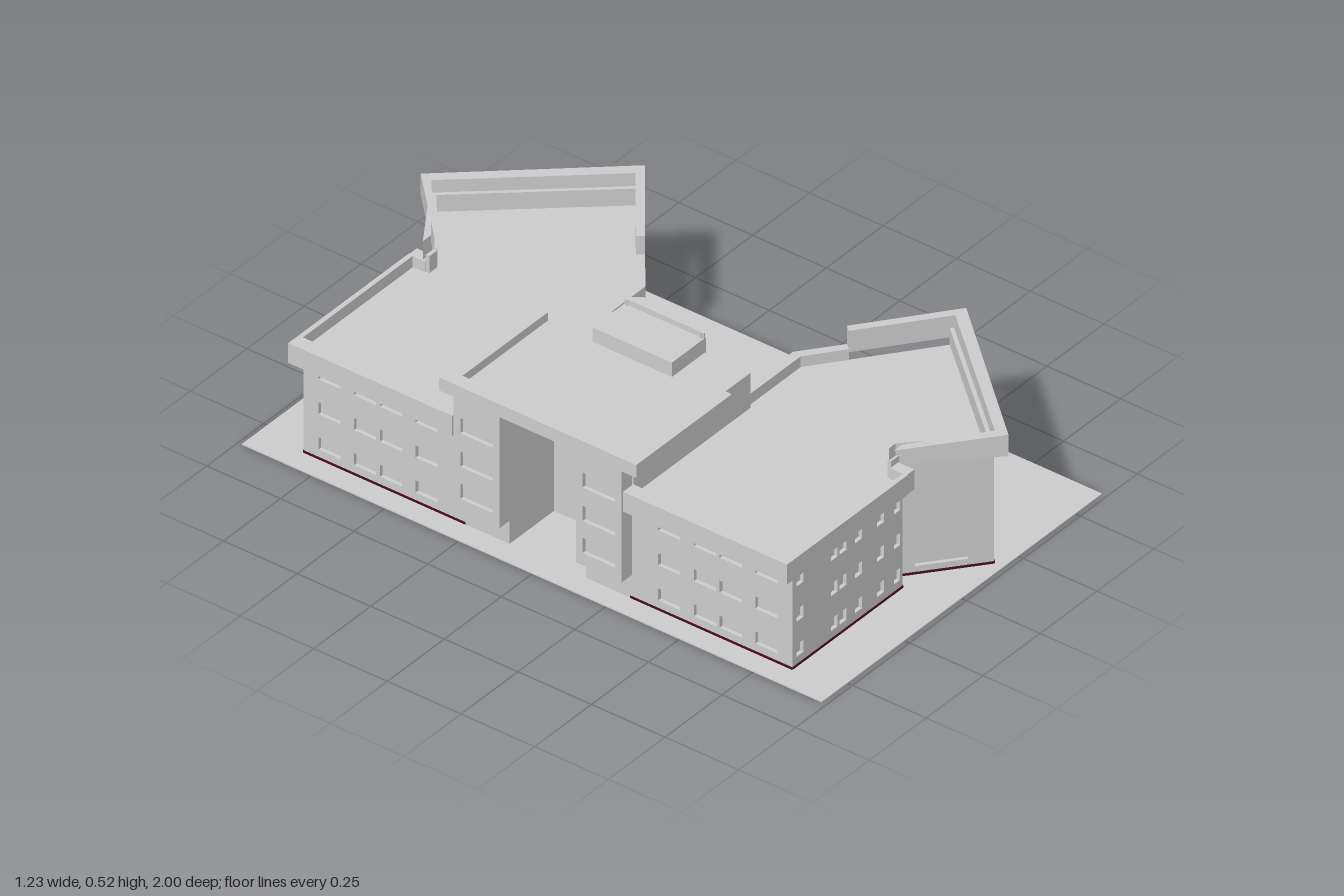
import * as THREE from 'three';

const DEPTH = 0.012; // window reveal depth

export function createModel() {
  const root = new THREE.Group();
  root.name = 'buildingComplex';
  const mat = (name, color) => {
    const m = new THREE.MeshStandardMaterial({ color });
    m.name = name;
    return m;
  };
  const grey = mat('paleGrey', 0xcccccc);
  const maroon = mat('darkMaroon', 0x4a0a22);

  const add = (parent, name, geo, m = grey) => {
    const mesh = new THREE.Mesh(geo, m);
    mesh.name = name;
    parent.add(mesh);
    return mesh;
  };
  const box = (parent, name, x0, x1, y0, y1, z0, z1, m) =>
    add(parent, name, new THREE.BoxGeometry(x1 - x0, y1 - y0, z1 - z0), m)
      .position.set((x0 + x1) / 2, (y0 + y1) / 2, (z0 + z1) / 2);

  // Upright prism over a plan outline of [x, z] points
  const prism = (parent, name, pts, y0, y1) => {
    const shape = new THREE.Shape(pts.map(p => new THREE.Vector2(p[0], p[1])));
    const geo = new THREE.ExtrudeGeometry(shape, { depth: y1 - y0, bevelEnabled: false });
    geo.rotateX(Math.PI / 2).translate(0, y1, 0);
    return add(parent, name, geo);
  };

  const rect = (path, u0, v0, u1, v1) =>
    path.moveTo(u0, v0).lineTo(u1, v0).lineTo(u1, v1).lineTo(u0, v1).closePath();

  // Wall from a to b with recessed openings [u0, v0, u1, v1]; outside is right of a->b seen from above
  const wall = (parent, name, a, b, y0, y1, openings = [], plinth = false) => {
    const dx = b[0] - a[0], dz = b[1] - a[1], len = Math.hypot(dx, dz);
    const g = new THREE.Group();
    g.name = name;
    g.position.set(a[0], 0, a[1]);
    g.rotation.y = Math.atan2(-dz, dx);
    const shape = rect(new THREE.Shape(), 0, y0, len, y1);
    for (const o of openings) shape.holes.push(rect(new THREE.Path(), ...o));
    const geo = new THREE.ExtrudeGeometry(shape, { depth: DEPTH, bevelEnabled: false });
    add(g, 'wallFace', geo.translate(0, 0, -DEPTH));
    if (openings.length) {
      const back = new THREE.PlaneGeometry(len, y1 - y0);
      add(g, 'windowPanes', back.translate(len / 2, (y0 + y1) / 2, -DEPTH));
    }
    if (plinth) box(g, 'plinth', 0, len, 0.004, 0.011, -0.004, 0.002, maroon);
    parent.add(g);
    return g;
  };

  const rows = [0.035, 0.15, 0.265];
  // Grid of windows centred at fractions of the wall length
  const windows = (len, fractions, w, h = 0.04, levels = rows) =>
    levels.flatMap(y => fractions.map(t => [t * len - w / 2, y, t * len + w / 2, y + h]));

  // Site
  box(root, 'groundPlate', -0.615, 0.615, 0, 0.004, -0.985, 0.985);

  // Side wings, mirrored in z
  const outline = [
    [-0.545, 0.28], [-0.545, 0.83], [-0.06, 0.83], [-0.06, 0.79], [-0.025, 0.79],
    [0.18, 0.955], [0.54, 0.54], [0.205, 0.28], [-0.03, 0.28],
  ];
  // Per wall: window fractions, window width, wall top, optional door [t0, t1]
  const walls = [
    { name: 'backWall', t: [0.24, 0.46, 0.62, 0.84], w: 0.075, top: 0.345 },
    { name: 'outerWall', t: [0.07, 0.38, 0.46, 0.6, 0.8, 0.95], w: 0.03, top: 0.345 },
    { name: 'notchReturn', top: 0.345 },
    { name: 'notchWall', top: 0.4 },
    { name: 'gableWall', top: 0.4, door: [0.17, 0.73] },
    { name: 'longWall', t: [0.06, 0.14, 0.31, 0.38, 0.49, 0.64, 0.81, 0.88, 0.96], w: 0.024, top: 0.4 },
    { name: 'entranceWall', top: 0.345, door: [0.12, 0.52], frame: true },
    { name: 'courtWall', t: [0.15, 0.45, 0.8], w: 0.035, top: 0.345 },
  ];

  for (const s of [1, -1]) {
    const wing = new THREE.Group();
    wing.name = s > 0 ? 'frontWing' : 'rearWing';
    root.add(wing);
    const flip = pts => pts.map(([x, z]) => [x, z * s]);
    const plan = flip(outline);

    walls.forEach((w, i) => {
      let a = plan[i], b = plan[i + 1];
      const len = Math.hypot(b[0] - a[0], b[1] - a[1]);
      let open = w.t ? windows(len, w.t, w.w) : [];
      if (w.door) open.push([w.door[0] * len, 0.03, w.door[1] * len, 0.267]);
      if (s < 0) {
        [a, b] = [b, a];
        open = open.map(([u0, v0, u1, v1]) => [len - u1, v0, len - u0, v1]);
      }
      const g = wall(wing, w.name, a, b, 0, w.top, open, true);
      if (w.frame) { // thin coloured lining of the doorway
        const [u0, v0, u1, v1] = open[0];
        box(g, 'doorSill', u0, u1, v0, v0 + 0.004, -DEPTH, 0.001, maroon);
        for (const u of [u0, u1 - 0.004])
          box(g, 'doorJamb', u, u + 0.004, v0, v1, -DEPTH, 0.001, maroon);
      }
    });
    prism(wing, 'roofDeck', plan, 0.325, 0.345);

    // Parapets: outer edge, then inner edge backwards
    prism(wing, 'lowParapet', flip([
      [-0.06, 0.847], [-0.59, 0.847], [-0.59, 0.29],
      [-0.545, 0.29], [-0.545, 0.832], [-0.06, 0.832],
    ]), 0.315, 0.38);
    prism(wing, 'tallParapet', flip([
      [-0.06, 0.787], [-0.03, 0.787], [0.187, 0.998], [0.587, 0.545], [0.325, 0.343],
      [0.309, 0.362], [0.542, 0.543], [0.18, 0.957], [-0.025, 0.8], [-0.06, 0.8],
    ].map(([x, z], i) => (i === 0 || i === 1 ? [x, z - 0.004] : [x, z]))), 0.37, 0.44);
    prism(wing, 'courtParapet', flip([
      [0.325, 0.343], [0.207, 0.25], [-0.03, 0.25],
      [-0.03, 0.28], [0.203, 0.28], [0.309, 0.362],
    ]), 0.32, 0.38);
    box(wing, 'parapetEnd', -0.064, -0.028, 0.315, 0.38,
      Math.min(0.79 * s, 0.845 * s), Math.max(0.79 * s, 0.845 * s));
  }

  // Central block with a recess at the back
  const centre = new THREE.Group();
  centre.name = 'centralBlock';
  root.add(centre);
  prism(centre, 'blockBody', [
    [-0.042, 0.29], [-0.042, -0.29], [-0.545, -0.29], [-0.545, -0.13],
    [-0.35, -0.13], [-0.35, 0.13], [-0.545, 0.13], [-0.545, 0.29],
  ], 0, 0.446);
  box(centre, 'blockRoof', -0.545, -0.03, 0.445, 0.46, -0.29, 0.29);
  prism(centre, 'blockParapet', [
    [-0.17, 0.335], [-0.59, 0.335], [-0.59, -0.335], [-0.17, -0.335],
    [-0.17, -0.29], [-0.545, -0.29], [-0.545, 0.29], [-0.17, 0.29],
  ], 0.445, 0.487);
  box(centre, 'penthouse', -0.175, -0.025, 0.455, 0.507, -0.135, 0.135);
  wall(centre, 'courtFace', [-0.03, 0.29], [-0.03, -0.29], 0, 0.446, [
    ...windows(0.58, [0.14, 0.86], 0.03, 0.04, [0.15, 0.265, 0.36]),
    [0.45, 0.02, 0.54, 0.115],
  ], true);

  // Projecting window bays on the back
  for (const s of [1, -1]) {
    const z0 = s > 0 ? 0.13 : -0.285, z1 = z0 + 0.155;
    box(centre, 'backBay', -0.59 + DEPTH, -0.545, 0.08, 0.446, z0, z1);
    wall(centre, 'backBayFace', [-0.59, z0], [-0.59, z1], 0.08, 0.446,
      windows(0.155, [0.5], 0.11, 0.05, [0.12, 0.225, 0.335]));
  }

  // Faceted bay facing the court
  const bay = [[-0.03, 0.135], [0, 0.1], [0.01, 0.06], [0.015, 0], [0.01, -0.06], [0, -0.1], [-0.03, -0.135]];
  for (let i = 0; i < bay.length - 1; i++) {
    const len = Math.hypot(bay[i + 1][0] - bay[i][0], bay[i + 1][1] - bay[i][1]);
    wall(centre, 'bayFacet', bay[i], bay[i + 1], 0.08, 0.525,
      windows(len, [0.5], 0.022, 0.045, [0.12, 0.21, 0.3, 0.39]));
  }
  prism(centre, 'bayTop', bay, 0.505, 0.525);
  prism(centre, 'bayUnderside', bay, 0.08, 0.09);
  box(centre, 'bayBack', -0.034, -0.03, 0.44, 0.525, -0.135, 0.135);

  return root;
}
